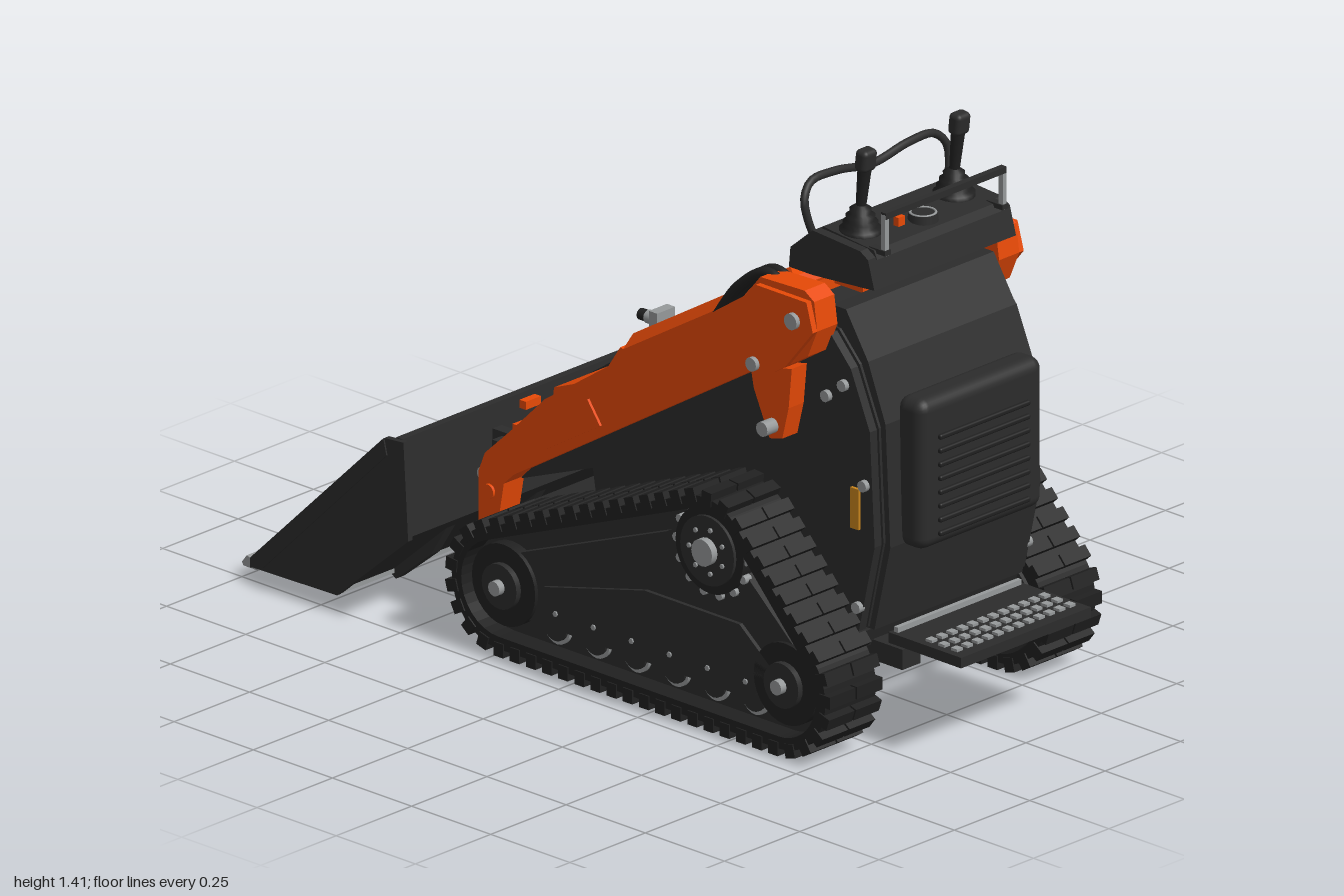
import * as THREE from 'three';
import { mergeGeometries } from 'three/addons/utils/BufferGeometryUtils.js';
import { RoundedBoxGeometry } from 'three/addons/geometries/RoundedBoxGeometry.js';

const mat = (name, color) => Object.assign(new THREE.MeshStandardMaterial({ color }), { name });
const V2 = (p) => new THREE.Vector2(p[0], p[1]);

export function createModel() {
  const root = new THREE.Group();
  root.name = 'compactMachine';
  const orange = mat('orange paint', 0xeb4b07);
  const dark = mat('dark panel', 0x2c2c2c);
  const black = mat('black rubber', 0x202020);
  const grey = mat('steel grey', 0x96999a);
  const amber = mat('amber marker', 0xc8841c);

  const add = (name, geo, m) => {
    const mesh = new THREE.Mesh(geo, m);
    mesh.name = name;
    root.add(mesh);
    return mesh;
  };
  const boxGeo = (w, h, d, x, y, z) => new THREE.BoxGeometry(w, h, d).translate(x, y, z);
  const box = (name, m, w, h, d, x, y, z) => add(name, boxGeo(w, h, d, x, y, z), m);
  const rbox = (name, m, w, h, d, x, y, z, r) =>
    add(name, new RoundedBoxGeometry(w, h, d, 3, r).translate(x, y, z), m);
  // side profile in (z, y), extruded from x0 to x1
  const prismGeo = (pts, x0, x1, holes = []) => {
    const shape = new THREE.Shape(pts.map(V2));
    shape.holes = holes.map((h) => new THREE.Path(h.map(V2)));
    return new THREE.ExtrudeGeometry(shape, { depth: x1 - x0, bevelEnabled: false })
      .rotateY(-Math.PI / 2).translate(x1, 0, 0);
  };
  const prism = (name, m, pts, x0, x1, holes) => add(name, prismGeo(pts, x0, x1, holes), m);
  const both = (name, m, pts, x0, x1, holes) => {
    prism(name + 'Left', m, pts, x0, x1, holes);
    prism(name + 'Right', m, pts, -x1, -x0, holes);
  };
  // cylinder along x, on both sides
  const discs = (name, m, r, x0, x1, z, y, n = 24) => [1, -1].forEach((s) =>
    add(name, new THREE.CylinderGeometry(r, r, x1 - x0, n).rotateZ(Math.PI / 2)
      .translate(s * (x0 + x1) / 2, y, z), m));
  const tube = (name, m, pts, r) => add(name, new THREE.TubeGeometry(
    new THREE.CatmullRomCurve3(pts.map((p) => new THREE.Vector3(...p))), 40, r, 10), m);

  // --- tracks: belt around two idlers and a raised sprocket ---
  const wheels = [[-0.24, 0.168, 0.147], [0.645, 0.169, 0.148], [0.41, 0.44, 0.135]];
  const wrap = (off) => {
    const normalAngle = (a, b) => {
      const dz = b[0] - a[0], dy = b[1] - a[1];
      return Math.atan2(dy, dz) - Math.acos((a[2] - b[2]) / Math.hypot(dz, dy));
    };
    const pts = [];
    wheels.forEach((w, i) => {
      const from = normalAngle(wheels[(i + 2) % 3], w);
      let sweep = normalAngle(w, wheels[(i + 1) % 3]) - from;
      while (sweep < 0) sweep += Math.PI * 2;
      for (let k = 0; k <= 14; k++) {
        const a = from + sweep * k / 14;
        pts.push([w[0] + (w[2] + off) * Math.cos(a), w[1] + (w[2] + off) * Math.sin(a)]);
      }
    });
    return pts;
  };
  both('trackBelt', black, wrap(0), 0.28, 0.448, [wrap(-0.03)]);
  both('trackCore', dark, wrap(-0.028), 0.27, 0.395);
  const loop = new THREE.Path(wrap(0).map(V2));
  loop.closePath();
  const lugs = 56;
  for (const s of [1, -1]) {
    const parts = [];
    for (let i = 0; i < lugs; i++) {
      const p = loop.getPointAt(i / lugs), d = loop.getTangentAt(i / lugs);
      for (const x of [0.319, 0.409]) parts.push(new THREE.BoxGeometry(0.085, 0.034, 0.03)
        .rotateX(-Math.atan2(d.y, d.x))
        .translate(s * x, p.y - d.x * 0.001, p.x + d.y * 0.001));
    }
    add('trackLugs', mergeGeometries(parts), black);
  }
  // undercarriage frame, rollers and wheels
  both('trackFrame', dark, [[0.6, 0.1], [0.72, 0.17], [0.66, 0.27], [0.49, 0.42], [0.36, 0.5], [0.26, 0.44],
    [-0.2, 0.26], [-0.31, 0.17], [-0.2, 0.1]], 0.39, 0.415);
  both('frameRib', dark, [[0.55, 0.12], [0.6, 0.2], [0.5, 0.28], [0.2, 0.28], [-0.12, 0.2], [-0.12, 0.12]], 0.4, 0.425);
  for (let i = 0; i < 6; i++) {
    const z = 0.53 - i * 0.125;
    discs('roller', grey, 0.04, 0.37, 0.405, z, 0.1, 20);
    discs('rollerCap', dark, 0.036, 0.37, 0.412, z, 0.106, 20);
  }
  for (const [z, y] of [[0.645, 0.173], [-0.245, 0.17]]) {
    discs('idler', black, 0.1, 0.3, 0.425, z, y, 28);
    discs('idlerHub', dark, 0.055, 0.42, 0.44, z, y);
    discs('idlerBolt', grey, 0.018, 0.43, 0.458, z, y, 12);
  }
  discs('sprocket', black, 0.107, 0.3, 0.43, 0.41, 0.44, 32);
  discs('sprocketFace', dark, 0.085, 0.42, 0.438, 0.41, 0.44, 32);
  discs('sprocketHub', grey, 0.033, 0.43, 0.456, 0.41, 0.44, 16);
  for (let i = 0; i < 14; i++) {
    const a = i / 14 * Math.PI * 2;
    discs('sprocketTooth', grey, 0.011, 0.405, 0.426, 0.41 + 0.111 * Math.cos(a), 0.44 + 0.111 * Math.sin(a), 8);
    if (i % 2) discs('sprocketBolt', grey, 0.006, 0.43, 0.443, 0.41 + 0.055 * Math.cos(a), 0.44 + 0.055 * Math.sin(a), 6);
  }
  for (let i = 0; i < 6; i++) discs('frameBolt', grey, 0.007, 0.41, 0.429, 0.52 - i * 0.12, 0.145, 6);

  // --- chassis and body ---
  prism('chassis', dark, [[0.72, 0.27], [0.7, 0.22], [0.55, 0.16], [-0.3, 0.16], [-0.3, 0.32], [-0.08, 0.36], [0.7, 0.4]], -0.272, 0.272);
  const bodyProfile = [[0.74, 0.29], [0.79, 0.51], [0.775, 0.79], [0.715, 0.93], [0.65, 1.0], [0.48, 1.02],
    [0.45, 0.95], [-0.08, 0.6], [-0.31, 0.44], [-0.33, 0.37], [-0.1, 0.46], [-0.08, 0.34], [0.1, 0.3]];
  prism('body', dark, bodyProfile, -0.252, 0.252);
  both('sidePlate', dark, bodyProfile.map(([z, y]) => [z - 0.006, y - 0.006]), 0.25, 0.275);
  prism('rearPanel', dark, [[0.755, 0.285], [0.805, 0.5], [0.79, 0.8], [0.735, 0.94], [0.665, 1.05], [0.62, 1.05],
    [0.68, 0.9], [0.73, 0.5], [0.7, 0.285]], -0.245, 0.245);
  rbox('ventCover', dark, 0.41, 0.37, 0.085, 0, 0.675, 0.823, 0.03);
  for (let i = 0; i < 8; i++) rbox('ventRib', black, 0.3, 0.013, 0.014, 0, 0.525 + i * 0.034, 0.867, 0.005);
  for (const s of [1, -1]) {
    box('marker', amber, 0.008, 0.1, 0.026, s * 0.279, 0.587, 0.727);
    box('stepBracket', dark, 0.06, 0.05, 0.12, s * 0.17, 0.21, 0.74);
  }
  for (const [z, y] of [[0.637, 0.84], [0.69, 0.88], [0.755, 0.65], [0.735, 0.345]])
    discs('plateBolt', grey, 0.014, 0.27, 0.288, z, y, 10);

  // step with rows of grip studs
  box('step', dark, 0.43, 0.026, 0.23, 0, 0.262, 0.885);
  for (let r = 0; r < 3; r++) for (let c = 0; c < 12; c++)
    box('gripStud', grey, 0.019, 0.007, 0.02, -0.187 + c * 0.034, 0.278, 0.88 + r * 0.04);
  box('stepHinge', grey, 0.41, 0.013, 0.012, 0, 0.282, 0.785);

  // --- hood: sloping panel with a recess, above a stepped nose ---
  prism('hoodBase', orange, [[0.5, 1.05], [0.46, 1.03], [-0.02, 0.735], [-0.04, 0.69], [-0.26, 0.6], [-0.28, 0.44], [0, 0.55], [0.5, 0.86]], -0.242, 0.242);
  const slope = new THREE.Vector3(0, 0.305, 0.5).normalize();
  const normal = new THREE.Vector3(0, slope.z, -slope.y);
  const onHood = new THREE.Matrix4().makeBasis(new THREE.Vector3(-1, 0, 0), slope, normal);
  onHood.setPosition(new THREE.Vector3(0, 0.785, -0.04).addScaledVector(normal, -0.05));
  const lid = new THREE.Shape([[-0.215, 0.005], [0.215, 0.005], [0.2, 0.57], [-0.2, 0.57]].map(V2));
  lid.holes.push(new THREE.Path([[-0.11, 0.21], [-0.085, 0.52], [0.085, 0.52], [0.11, 0.21]].map(V2)));
  add('hoodPanel', new THREE.ExtrudeGeometry(lid, { depth: 0.025, bevelThickness: 0.025, bevelSize: 0.025, bevelSegments: 1 })
    .applyMatrix4(onHood), orange);
  add('recessVent', boxGeo(0.12, 0.06, 0.008, 0, 0.46, 0.006).applyMatrix4(onHood), dark);
  add('hoodHandle', new RoundedBoxGeometry(0.19, 0.035, 0.03, 2, 0.008).translate(0, 0.55, 0.06).applyMatrix4(onHood), dark);
  add('hoodLatch', boxGeo(0.15, 0.012, 0.008, 0, 0.545, 0.075).applyMatrix4(onHood), grey);
  for (const x of [-0.075, 0.075])
    prism('noseBracket', orange, [[-0.1, 0.62], [-0.16, 0.66], [-0.2, 0.67], [-0.24, 0.61], [-0.33, 0.49], [-0.33, 0.44], [-0.2, 0.5]], x - 0.01, x + 0.01);

  // --- lift arms ---
  both('liftArm', orange, [[0.66, 1.02], [0.65, 1.09], [0.62, 1.11], [0.48, 1.105], [0.43, 1.045], [-0.2, 0.615], [-0.31, 0.505], [-0.39, 0.43],
    [-0.41, 0.38], [-0.41, 0.23], [-0.355, 0.23], [-0.33, 0.37], [-0.3, 0.4], [0.46, 0.87], [0.52, 0.88], [0.63, 0.95]], 0.268, 0.335);
  both('armPad', orange, [[-0.02, 0.6], [-0.06, 0.655], [-0.24, 0.545], [-0.2, 0.49]], 0.33, 0.342);
  both('armPlate', orange, [[0.66, 1.02], [0.64, 1.09], [0.48, 1.09], [0.43, 1.02], [0.43, 0.93], [0.48, 0.88], [0.57, 0.91]], 0.33, 0.35);
  both('armTab', orange, [[0.57, 0.9], [0.44, 0.87], [0.45, 0.82], [0.5, 0.71], [0.54, 0.72], [0.56, 0.8]], 0.27, 0.325);
  box('armCrossbar', orange, 0.56, 0.08, 0.07, 0, 0.455, -0.32);
  for (const [z, y, r] of [[0.6, 1.035, 0.02], [0.475, 0.895, 0.017], [0.51, 0.745, 0.018]])
    discs('armPin', grey, r, 0.31, 0.362, z, y, 14);
  discs('bucketPin', orange, 0.018, 0.33, 0.342, -0.375, 0.34, 16);
  for (const s of [1, -1]) for (const dx of [0, 0.026])
    tube('hose', black, [[s * (0.265 + dx), 1.05, 0.56], [s * (0.27 + dx), 1.1, 0.47], [s * (0.27 + dx), 1.045, 0.38], [s * (0.27 + dx), 0.94, 0.3]], 0.014);

  // --- tilt cylinder, valve block and quick attach ---
  const ram = (name, m, r, len, y, z) =>
    add(name, new THREE.CylinderGeometry(r, r, len, 18).rotateX(Math.PI / 2 - 0.6).translate(0, y, z), m);
  ram('tiltCylinder', black, 0.032, 0.2, 0.56, -0.28);
  ram('tiltRod', grey, 0.018, 0.08, 0.475, -0.395);
  rbox('rodEnd', dark, 0.16, 0.06, 0.06, 0, 0.43, -0.43, 0.012);
  box('quickAttach', dark, 0.42, 0.07, 0.045, 0, 0.37, -0.44);
  for (const s of [1, -1]) {
    box('attachEar', dark, 0.045, 0.24, 0.04, s * 0.225, 0.3, -0.43);
    box('attachPost', dark, 0.03, 0.08, 0.06, s * 0.2, 0.39, -0.45);
    box('attachHook', dark, 0.05, 0.1, 0.05, s * 0.17, 0.34, -0.475);
  }
  discs('attachPin', grey, 0.018, 0.2, 0.29, -0.44, 0.35, 14);
  box('valveBlock', grey, 0.06, 0.175, 0.026, 0.195, 0.558, -0.335);
  for (let i = 0; i < 3; i++) {
    add('coupler', new THREE.CylinderGeometry(0.016, 0.016, 0.035, 12).rotateX(Math.PI / 2).translate(0.195, 0.495 + i * 0.06, -0.362), grey);
    add('couplerNose', new THREE.CylinderGeometry(0.014, 0.014, 0.025, 12).rotateX(Math.PI / 2).translate(0.195, 0.495 + i * 0.06, -0.39), black);
  }
  tube('valveHose', black, [[0.19, 0.6, -0.33], [0.185, 0.63, -0.28], [0.17, 0.58, -0.24], [0.16, 0.52, -0.22]], 0.01);
  box('couplerCap', orange, 0.05, 0.02, 0.02, -0.2, 0.52, -0.375);

  // --- bucket ---
  prism('bucketShell', dark, [[-0.505, 0.475], [-0.49, 0.235], [-0.7, 0.05], [-0.97, 0.045], [-0.98, 0.058],
    [-0.71, 0.068], [-0.62, 0.13], [-0.54, 0.225], [-0.518, 0.28], [-0.525, 0.475]], -0.487, 0.487);
  both('bucketSide', dark, [[-0.49, 0.475], [-0.55, 0.47], [-0.975, 0.055], [-0.97, 0.035], [-0.7, 0.04], [-0.475, 0.235]], 0.485, 0.5);
  both('bucketSideEdge', dark, [[-0.55, 0.47], [-0.97, 0.06], [-0.97, 0.035], [-0.93, 0.045], [-0.54, 0.43]], 0.498, 0.504);
  prism('cuttingEdge', grey, [[-0.95, 0.032], [-0.95, 0.05], [-0.985, 0.06], [-1, 0.04], [-0.995, 0.032]], -0.5, 0.5);
  box('bucketWearStrip', grey, 0.98, 0.014, 0.02, 0, 0.05, -0.705);
  for (const x of [-0.3, 0, 0.3])
    prism('bucketRib', dark, [[-0.53, 0.2], [-0.58, 0.12], [-0.69, 0.03], [-0.72, 0.05]], x - 0.015, x + 0.015);

  // --- operator console ---
  prism('console', dark, [[0.745, 1.115], [0.725, 1.185], [0.7, 1.2], [0.55, 1.21], [0.48, 1.15], [0.475, 1.1], [0.55, 1.1]], -0.235, 0.235);
  prism('consoleTop', dark, [[0.73, 1.18], [0.72, 1.2], [0.56, 1.215], [0.53, 1.19]], -0.21, 0.21);
  box('consoleNeck', orange, 0.22, 0.09, 0.12, 0, 1.075, 0.53);
  const bellows = [[0.05, 0], [0.05, 0.012], [0.038, 0.016], [0.042, 0.028], [0.032, 0.032], [0.035, 0.044], [0.024, 0.048], [0.026, 0.06], [0.012, 0.07]];
  for (const s of [1, -1]) {
    const x = s * 0.155;
    add('joystickBoot', new THREE.LatheGeometry(bellows.map(V2), 20).translate(x, 1.203, 0.625), black);
    add('joystickStem', new THREE.CylinderGeometry(0.017, 0.012, 0.11, 12).rotateX(0.12).translate(x, 1.315, 0.632), black);
    add('joystickGrip', new RoundedBoxGeometry(0.046, 0.055, 0.036, 3, 0.012).rotateX(0.12).translate(x, 1.387, 0.642), dark);
    add('joystickButton', new THREE.CylinderGeometry(0.009, 0.009, 0.008, 12).rotateX(Math.PI / 2).translate(x, 1.39, 0.624), orange);
    box('railPost', grey, 0.012, 0.1, 0.014, s * 0.195, 1.24, 0.74);
    box('railFoot', dark, 0.02, 0.012, 0.05, s * 0.195, 1.198, 0.725);
  }
  box('rail', dark, 0.4, 0.016, 0.016, 0, 1.288, 0.74);
  tube('handlebar', dark, [[-0.225, 1.2, 0.54], [-0.234, 1.23, 0.535], [-0.236, 1.28, 0.525], [-0.205, 1.312, 0.515], [-0.12, 1.315, 0.515],
    [0, 1.297, 0.515], [0.12, 1.315, 0.515], [0.205, 1.312, 0.515], [0.236, 1.28, 0.525], [0.234, 1.23, 0.535], [0.225, 1.2, 0.54]], 0.01);
  add('gaugeBody', new THREE.CylinderGeometry(0.034, 0.036, 0.02, 24).translate(0, 1.212, 0.675), dark);
  add('gaugeRing', new THREE.TorusGeometry(0.03, 0.003, 8, 24).rotateX(Math.PI / 2).translate(0, 1.222, 0.675), grey);
  box('ignitionKey', orange, 0.022, 0.022, 0.016, -0.068, 1.218, 0.665);
  return root;
}
